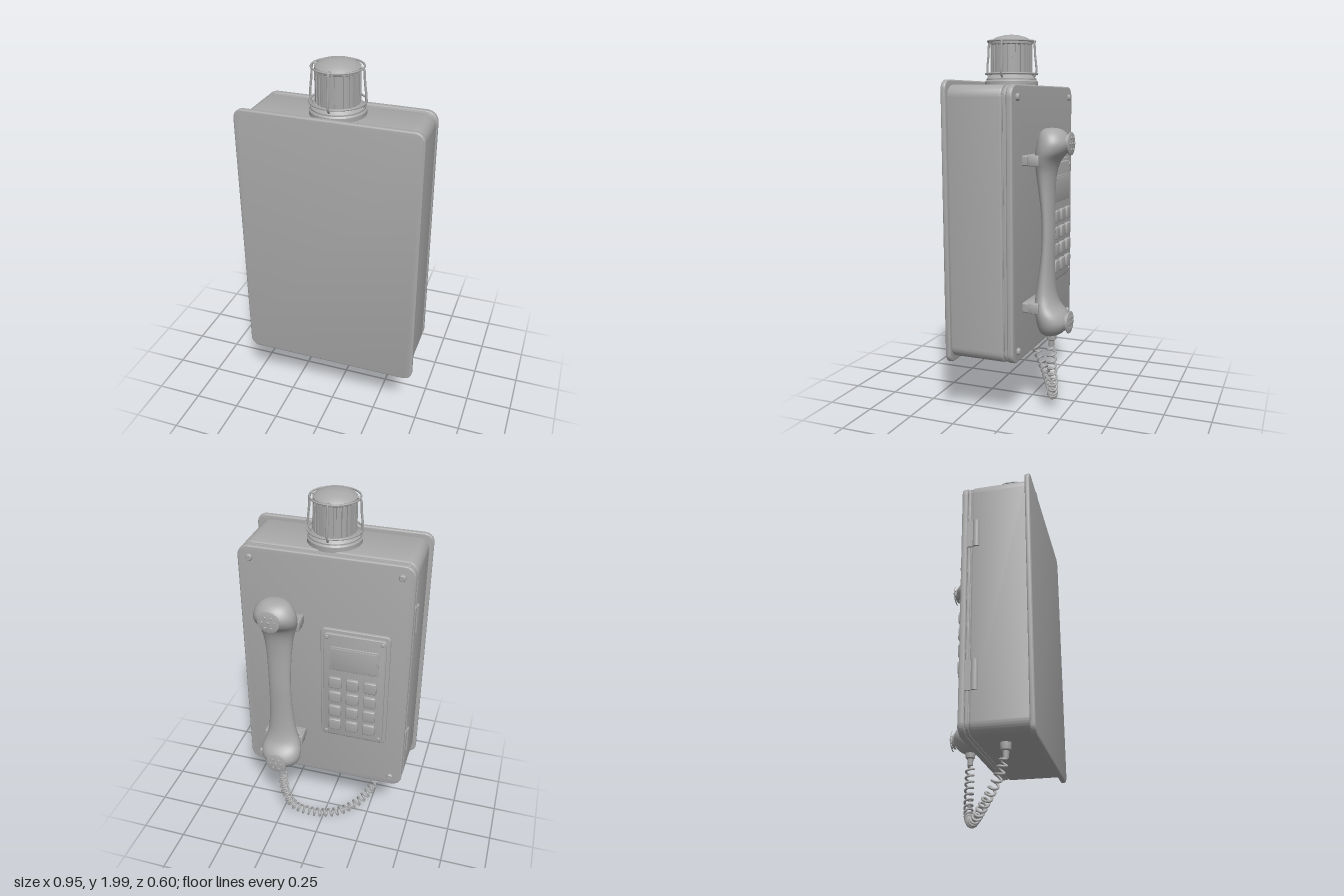
import * as THREE from 'three';
import { mergeVertices, toCreasedNormals } from 'three/addons/utils/BufferGeometryUtils.js';

const grey = new THREE.MeshStandardMaterial({ color: 0xa8a8a8 });
grey.name = 'grey';

export function createModel() {
  const root = new THREE.Group();
  root.name = 'wallTelephone';

  const add = (name, geo, x = 0, y = 0, z = 0, parent = root) => {
    const m = new THREE.Mesh(geo, grey);
    m.name = name;
    m.position.set(x, y, z);
    parent.add(m);
    return m;
  };
  // Upright slab with rounded corners and bevelled edges, between two depths
  const slab = (name, x0, x1, y0, y1, z0, z1, r, b) => {
    const w = (x1 - x0) / 2, h = (y1 - y0) / 2, s = new THREE.Shape();
    s.absarc(w - r, h - r, r, 0, Math.PI / 2);
    s.absarc(-w + r, h - r, r, Math.PI / 2, Math.PI);
    s.absarc(-w + r, -h + r, r, Math.PI, Math.PI * 1.5);
    s.absarc(w - r, -h + r, r, Math.PI * 1.5, Math.PI * 2);
    s.closePath();
    const g = new THREE.ExtrudeGeometry(s, {
      depth: z1 - z0 - 2 * b, bevelEnabled: b > 0, bevelSize: b, bevelThickness: b,
      bevelOffset: -b, bevelSegments: 3, curveSegments: 8,
    });
    return add(name, toCreasedNormals(g, 0.6), (x0 + x1) / 2, (y0 + y1) / 2, z0 + b);
  };
  // Turned part around the y axis; profile runs from bottom to top
  const turned = (name, pts, x, y, z, seg = 32) => add(name, toCreasedNormals(
    new THREE.LatheGeometry(pts.map(p => new THREE.Vector2(p[0], p[1])), seg), 0.5), x, y, z);
  // Round button whose domed face looks toward -z
  const stud = (name, r, h, x, y, z) => {
    const m = turned(name, [[r, 0], [r, h * 0.6], [r * 0.75, h], [0, h]], x, y, z, 16);
    m.rotation.x = -Math.PI / 2;
    return m;
  };

  // Housing
  slab('backPlate', -0.475, 0.475, 0.32, 1.76, 0.27, 0.297, 0.05, 0.007);
  slab('housing', -0.455, 0.455, 0.345, 1.735, -0.015, 0.275, 0.06, 0.008);
  slab('gasket', -0.445, 0.445, 0.355, 1.725, -0.04, 0, 0.055, 0);
  slab('doorRim', -0.452, 0.452, 0.348, 1.732, -0.037, -0.021, 0.058, 0.005);
  slab('door', -0.455, 0.455, 0.345, 1.735, -0.07, -0.038, 0.06, 0.007);
  for (const x of [-0.39, 0.39]) for (const y of [0.405, 1.675])
    stud('doorScrew', 0.018, 0.016, x, y, -0.069);
  for (const y of [0.635, 1.42]) {
    add('hinge', new THREE.CylinderGeometry(0.02, 0.02, 0.155, 16), -0.447, y, 0.008);
    add('hingeLeaf', new THREE.BoxGeometry(0.012, 0.155, 0.05), -0.453, y, -0.012);
  }

  // Keypad
  slab('keypadBase', -0.355, 0.015, 0.65, 1.34, -0.088, -0.068, 0.025, 0.005);
  slab('keypadPanel', -0.337, -0.003, 0.668, 1.322, -0.104, -0.086, 0.02, 0.004);
  slab('displayFrame', -0.303, -0.037, 1.105, 1.25, -0.109, -0.102, 0.012, 0.002);
  slab('display', -0.293, -0.047, 1.115, 1.24, -0.112, -0.107, 0.008, 0.001);
  for (let r = 0; r < 4; r++) for (let c = 0; c < 3; c++) {
    const x = -0.263 + c * 0.095, y = 0.75 + r * 0.093;
    slab('key', x - 0.034, x + 0.034, y - 0.034, y + 0.034, -0.123, -0.102, 0.01, 0.006);
  }
  for (const x of [-0.318, -0.022]) for (const y of [0.69, 1.3])
    stud('keypadScrew', 0.011, 0.006, x, y, -0.103);

  // Handset cradles
  const hx = 0.217;
  for (const y of [0.615, 1.365]) {
    slab('cradleBase', hx - 0.108, hx + 0.108, y - 0.025, y + 0.025, -0.124, -0.068, 0.006, 0.003);
    for (const s of [-1, 1])
      slab('cradleArm', hx + s * 0.1 - 0.011, hx + s * 0.1 + 0.011, y - 0.028, y + 0.028, -0.157, -0.1, 0.006, 0.004);
  }

  // Handset: rows give height, door-side depth, outer depth, half width
  const half = [
    [0.455, -0.188, -0.189, 0.0005], [0.459, -0.155, -0.222, 0.045], [0.473, -0.134, -0.25, 0.075],
    [0.5, -0.122, -0.273, 0.098], [0.535, -0.115, -0.284, 0.111], [0.575, -0.109, -0.268, 0.112],
    [0.62, -0.107, -0.23, 0.1], [0.68, -0.111, -0.21, 0.082], [0.77, -0.124, -0.202, 0.07],
    [0.88, -0.137, -0.202, 0.063],
  ];
  const rows = [...half, [0.99, -0.141, -0.204, 0.061],
    ...half.slice().reverse().map(([y, a, b, w]) => [1.98 - y, a, b, w])];
  const spine = new THREE.CatmullRomCurve3(
    rows.map(([y, a, b]) => new THREE.Vector3((a - b) / 2, y, (a + b) / 2)), false, 'catmullrom', 0.5);
  const widths = new THREE.CatmullRomCurve3(
    rows.map(([y, , , w]) => new THREE.Vector3(w, y, 0)), false, 'catmullrom', 0.5);
  let body = new THREE.CylinderGeometry(1, 1, 1, 36, 80, true);
  const p = body.attributes.position;
  for (let i = 0; i < p.count; i++) {
    const t = THREE.MathUtils.clamp(p.getY(i) + 0.5, 0, 1);
    const s = spine.getPoint(t), w = widths.getPoint(t).x;
    p.setXYZ(i, p.getX(i) * w, s.y, s.z + p.getZ(i) * s.x);
  }
  body.deleteAttribute('uv');
  body.deleteAttribute('normal');
  body = mergeVertices(body, 1e-5);
  body.computeVertexNormals();
  add('handset', body, hx);

  // Perforated ear and mouth discs
  for (const y of [0.532, 1.448]) {
    stud('speakerNeck', 0.045, 0.02, hx, y, -0.27);
    stud('speakerDisc', 0.058, 0.01, hx, y, -0.285);
    for (let i = 0; i < 7; i++) {
      const a = i * Math.PI / 3, r = i < 6 ? 0.033 : 0;
      stud('speakerDot', 0.007, 0.005, hx + r * Math.cos(a), y + r * Math.sin(a), -0.294);
    }
  }

  // Cord ends and coiled cord
  const plug = [[0, -0.065], [0.014, -0.065], [0.017, -0.03], [0.025, -0.024], [0.028, 0], [0.028, 0.02]];
  turned('handsetPlug', plug, hx, 0.455, -0.19, 20);
  turned('housingPlug', plug, -0.285, 0.335, 0.12, 20);
  const path = new THREE.CatmullRomCurve3([
    [hx, 0.4, -0.19], [0.208, 0.25, -0.192], [0.16, 0.125, -0.18], [0.06, 0.055, -0.14],
    [-0.08, 0.037, -0.08], [-0.2, 0.09, 0], [-0.268, 0.18, 0.075], [-0.285, 0.285, 0.12],
  ].map(q => new THREE.Vector3(...q)));
  const across = new THREE.Vector3(0.31, 0, 0.5).normalize();
  class Coil extends THREE.Curve {
    getPoint(t, target = new THREE.Vector3()) {
      const tan = path.getTangentAt(t);
      const n = new THREE.Vector3().crossVectors(tan, across).normalize();
      const b = new THREE.Vector3().crossVectors(tan, n);
      const a = t * 28 * Math.PI * 2, r = 0.021 * Math.min(1, t * 40, (1 - t) * 40);
      return target.copy(path.getPointAt(t)).addScaledVector(n, r * Math.cos(a)).addScaledVector(b, r * Math.sin(a));
    }
  }
  add('coiledCord', new THREE.TubeGeometry(new Coil(), 560, 0.0062, 8));

  // Beacon on the roof
  const bz = 0.12;
  turned('beaconBase', [[0.141, 1.73], [0.141, 1.757], [0.134, 1.765], [0.134, 1.772], [0.115, 1.79], [0, 1.79]], 0, 0, bz, 40);
  turned('beaconLens', [[0.104, 1.785], [0.104, 1.945], [0.111, 1.95], [0.111, 1.966], [0.1, 1.976], [0.078, 1.988], [0.04, 1.998], [0, 2]], 0, 0, bz, 40);
  for (let i = 0; i < 24; i++) {
    const a = (i + 0.5) * Math.PI / 12;
    const rib = add('lensRib', new THREE.BoxGeometry(0.014, 0.155, 0.012), Math.sin(a) * 0.105, 1.87, bz + Math.cos(a) * 0.105);
    rib.rotation.y = a;
  }

  // Wire guard: two rings joined by four bowed struts
  for (const [r, y] of [[0.126, 1.966], [0.138, 1.798]]) {
    const ring = add('guardRing', new THREE.TorusGeometry(r, 0.005, 8, 48), 0, y, bz);
    ring.rotation.x = Math.PI / 2;
  }
  for (let i = 0; i < 4; i++) {
    const c = new THREE.CatmullRomCurve3([[0.125, 1.778], [0.14, 1.8], [0.134, 1.9], [0.126, 1.966], [0.108, 1.968]]
      .map(([r, y]) => new THREE.Vector3(r, y, 0)));
    add('guardStrut', new THREE.TubeGeometry(c, 24, 0.006, 8), 0, 0, bz).rotation.y = i * Math.PI / 2;
  }
  return root;
}
